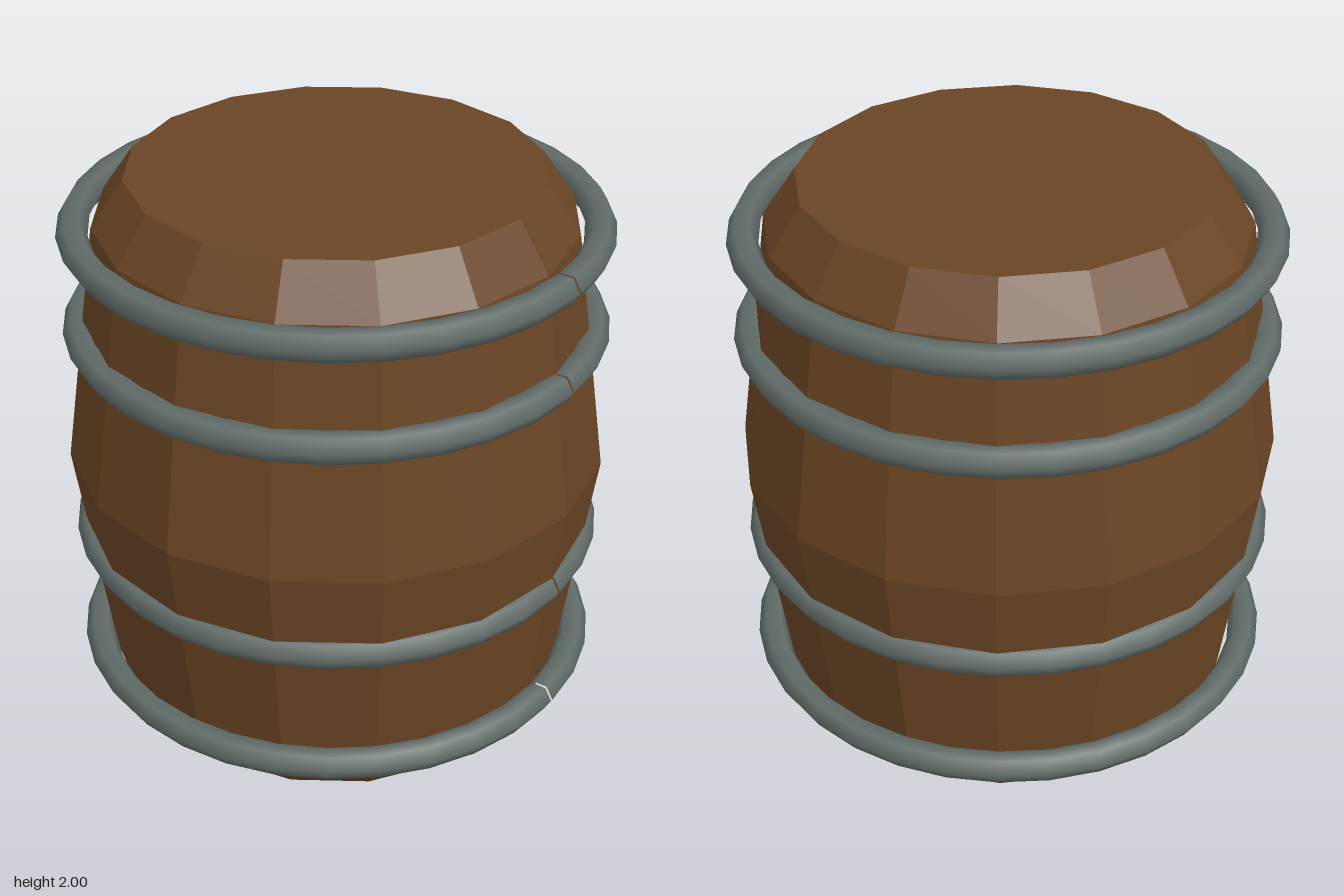
import * as THREE from 'three';

export function createModel() {
  const wood = new THREE.MeshStandardMaterial({ color: 0x6a4524 });
  wood.name = 'brown wood';
  const iron = new THREE.MeshStandardMaterial({ color: 0x616c69 });
  iron.name = 'grey iron';

  const model = new THREE.Group();
  model.name = 'barrel';

  // Faceted 16-sided body with closed ends, from bottom to top
  const profile = [[0, 0], [0.69, 0], [0.8, 0.16], [0.92, 1], [0.8, 1.84], [0.69, 2], [0, 2]]
    .map(([r, y]) => new THREE.Vector2(r, y));
  const bodyGeometry = new THREE.LatheGeometry(profile, 16).toNonIndexed();
  bodyGeometry.computeVertexNormals();
  const body = new THREE.Mesh(bodyGeometry, wood);
  body.name = 'barrelBody';
  model.add(body);

  // Smooth iron hoops, each with a hairline joint on the +x side
  const joint = 0.01;
  const hoopGeometry = new THREE.TorusGeometry(0.862, 0.052, 6, 32, Math.PI * 2 - joint);
  hoopGeometry.rotateZ(joint / 2).rotateX(-Math.PI / 2);
  [0.235, 0.695, 1.465, 1.815].forEach((y, i) => {
    const hoop = new THREE.Mesh(hoopGeometry, iron);
    hoop.name = `hoop${i + 1}`;
    hoop.position.y = y;
    model.add(hoop);
  });

  return model;
}
